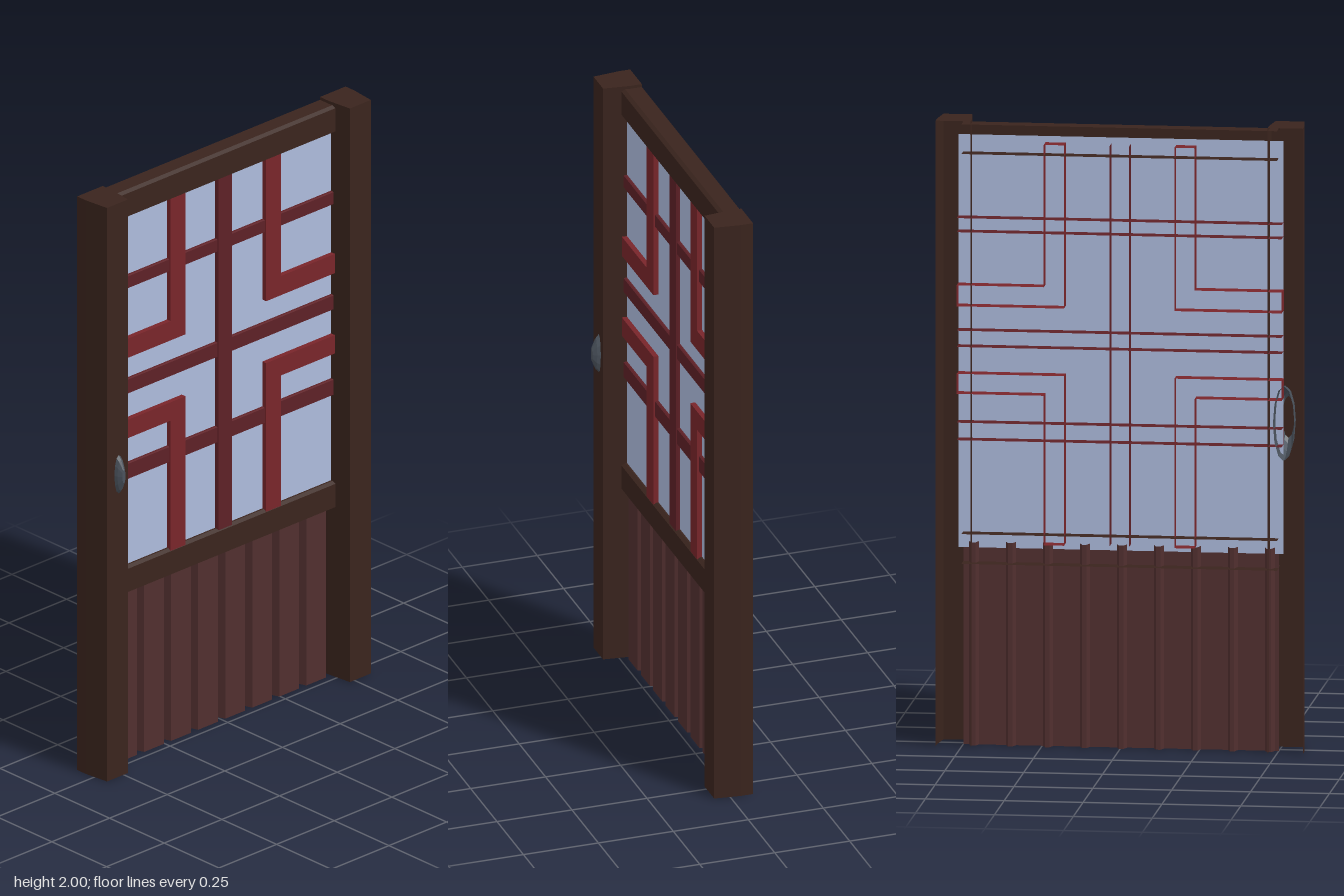
import * as THREE from 'three';

const BACK = -0.075;
const mat = (color) => new THREE.MeshStandardMaterial({ color, side: THREE.DoubleSide, flatShading: true });

// Remove the triangles whose face normal satisfies drop(n), leaving an open shell
function openShell(geo, drop) {
  const g = geo.index ? geo.toNonIndexed() : geo;
  const p = g.attributes.position, keep = [], tri = new THREE.Triangle(), n = new THREE.Vector3();
  for (let i = 0; i < p.count; i += 3) {
    tri.setFromAttributeAndIndices(p, i, i + 1, i + 2).getNormal(n);
    if (!drop(n)) for (let k = i; k < i + 3; k++) keep.push(p.getX(k), p.getY(k), p.getZ(k));
  }
  const out = new THREE.BufferGeometry();
  out.setAttribute('position', new THREE.Float32BufferAttribute(keep, 3));
  out.computeVertexNormals();
  return out;
}

// Box open at the back, its front face inset by (ix, iy), tapering from depth zMid
function channel(x0, x1, y0, y1, zFront, zMid, ix, iy, drop) {
  const cx = (x0 + x1) / 2, cy = (y0 + y1) / 2, w = x1 - x0, h = y1 - y0;
  const g = new THREE.BoxGeometry(w, h, 2, 1, 1, 2);
  const p = g.attributes.position;
  for (let i = 0; i < p.count; i++) {
    const layer = Math.round(p.getZ(i));
    const front = layer === 1 ? 1 : 0;
    p.setXYZ(i,
      cx + p.getX(i) * (1 - front * 2 * ix / w),
      cy + p.getY(i) * (1 - front * 2 * iy / h),
      [BACK, zMid, zFront][layer + 1]);
  }
  return openShell(g, (n) => n.z < -0.9 || drop(n));
}

export function createModel() {
  const group = new THREE.Group();
  const frameMat = mat(0x3a241d), barMat = mat(0x5e2026), cornerMat = mat(0x78252a);
  const add = (name, geo, material) => {
    const m = new THREE.Mesh(geo, material);
    m.name = name;
    group.add(m);
    return m;
  };
  const noEndsX = (n) => Math.abs(n.x) > 0.9;
  const noEndsY = (n) => Math.abs(n.y) > 0.9;

  // Side posts, hollow from behind and below
  for (const s of [-1, 1]) {
    const a = s * 0.471, b = s * 0.582;
    add(s > 0 ? 'leftPost' : 'rightPost',
      channel(Math.min(a, b), Math.max(a, b), 0, 2, 0.051, -0.035, 0.01, 0, (n) => n.y < -0.9), frameMat);
  }

  // Top and middle rails
  add('topRail', channel(-0.5, 0.5, 1.895, 1.99, -0.008, -0.02, 0, 0.007, noEndsX), frameMat);
  add('middleRail', channel(-0.5, 0.5, 0.585, 0.68, -0.008, -0.02, 0, 0.007, noEndsX), frameMat);

  // Glass pane
  const glass = add('glassPane', new THREE.PlaneGeometry(1.03, 1.32), mat(0xadbbdc));
  glass.position.set(0, 1.29, -0.026);

  // Straight lattice bars
  add('centreBar', channel(-0.031, 0.031, 0.65, 1.93, -0.012, -0.02, 0.002, 0, noEndsY), barMat);
  for (const [y0, y1] of [[1.645, 1.69], [1.278, 1.33], [0.98, 1.036]])
    add('crossBar', channel(-0.515, 0.515, y0, y1, -0.015, -0.02, 0, 0.002, noEndsX), barMat);

  // Four L-shaped corner bars: [outer end y, inner corner y, inside edge y]
  for (const s of [-1, 1]) {
    for (const [yEnd, yOut, yIn] of [[1.93, 1.408, 1.475], [0.65, 1.192, 1.128]]) {
      const pts = [[0.175, yEnd], [0.175, yOut], [0.515, yOut], [0.515, yIn], [0.239, yIn], [0.239, yEnd]];
      const shape = new THREE.Shape(pts.map(([x, y]) => new THREE.Vector2(s * x, y)));
      const g = new THREE.ExtrudeGeometry(shape, { depth: -0.009 - BACK, bevelEnabled: false });
      g.translate(0, 0, BACK);
      add('cornerBar', openShell(g, (n) => n.z < -0.9), cornerMat);
    }
  }

  // Lower panel: one grooved sheet swept from its cross-section
  const section = [[-0.5, -0.025]];
  for (let k = 0; k < 9; k++) {
    const x = -0.472 + k * 0.1172;
    section.push([x - 0.016, -0.025], [x - 0.007, -0.05], [x + 0.007, -0.05], [x + 0.016, -0.025]);
  }
  section.push([0.5, -0.025]);
  const panel = new THREE.PlaneGeometry(1, 1, section.length - 1, 1);
  const pp = panel.attributes.position;
  for (let i = 0; i < pp.count; i++) {
    const [x, z] = section[i % section.length];
    pp.setXYZ(i, x, pp.getY(i) > 0 ? 0.65 : 0, z);
  }
  panel.computeVertexNormals();
  add('plankPanel', panel, mat(0x512f2f));

  // Door knob: flattened dome that pierces the right post, with a flat tip
  const dome = new THREE.SphereGeometry(1, 12, 5, 0, Math.PI * 2, 0.2, Math.PI / 2 - 0.2);
  dome.rotateX(Math.PI / 2);
  const tip = new THREE.CircleGeometry(Math.sin(0.2), 12);
  tip.translate(0, 0, Math.cos(0.2));
  const knob = new THREE.Group();
  knob.name = 'knob';
  for (const [name, g] of [['knobDome', dome], ['knobTip', tip]]) {
    const m = new THREE.Mesh(g, mat(0x4a525c));
    m.name = name;
    knob.add(m);
  }
  knob.scale.set(0.034, 0.12, 0.149);
  knob.position.set(-0.521, 1.055, -0.071);
  group.add(knob);

  return group;
}
